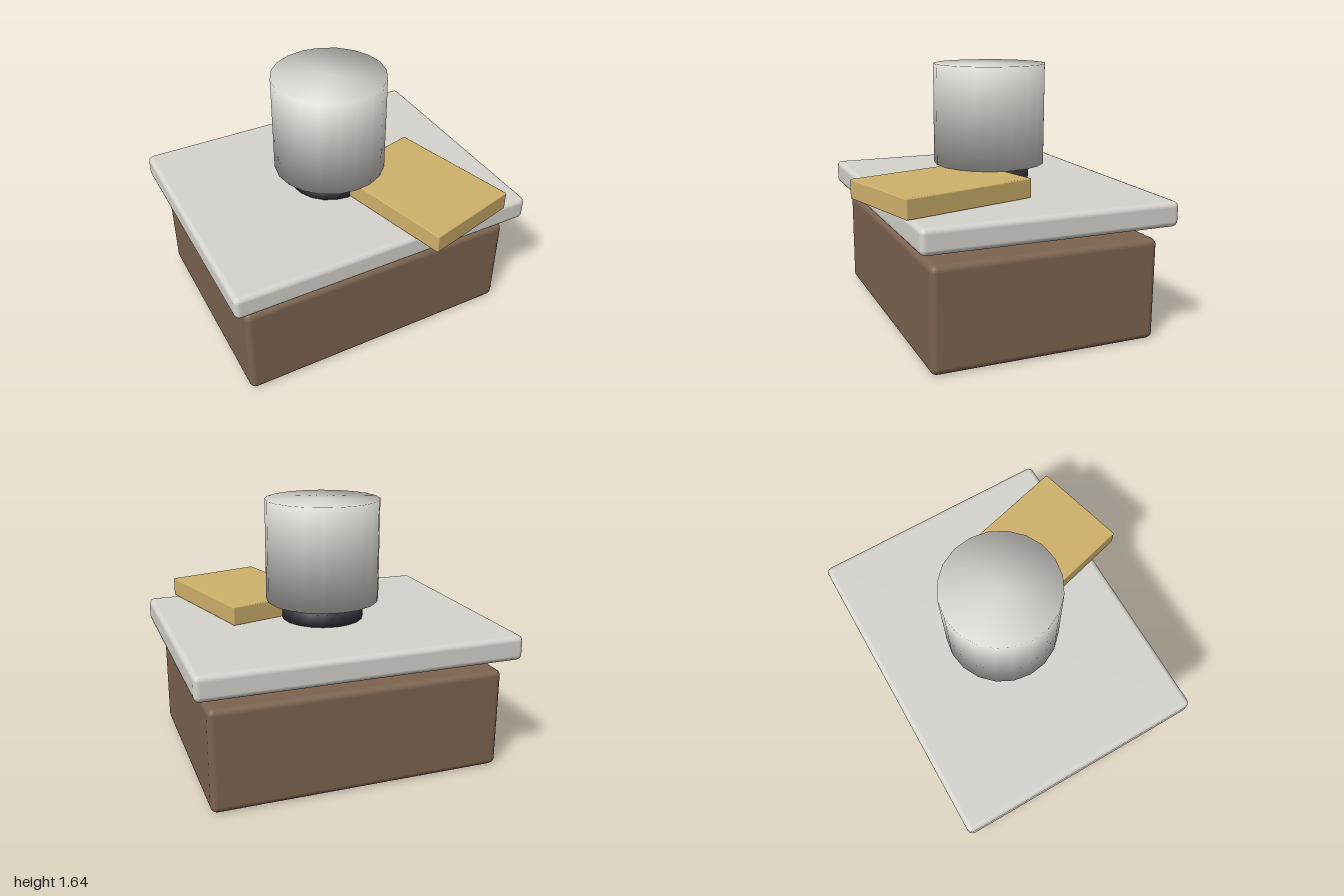
import * as THREE from 'three';
import { RoundedBoxGeometry } from 'three/addons/geometries/RoundedBoxGeometry.js';

function material(name, color) {
  const m = new THREE.MeshStandardMaterial({ color });
  m.name = name;
  return m;
}

// Cylinder whose normals are blended across its rims, giving soft round shading
function softCylinder(radius, height) {
  const geo = new THREE.CylinderGeometry(radius, radius, height, 20);
  const pos = geo.attributes.position;
  const k = Math.SQRT1_2;
  for (let i = 0; i < pos.count; i++) {
    geo.attributes.normal.setXYZ(
      i, k * pos.getX(i) / radius, k * Math.sign(pos.getY(i)), k * pos.getZ(i) / radius);
  }
  return geo;
}

export function createModel() {
  const group = new THREE.Group();
  const brown = material('brown wood', 0x7c6450);
  const pale = material('pale stone', 0xd6d4ce);
  const gold = material('gold', 0xd0b16b);
  const dark = material('dark base', 0x32313a);

  const add = (name, geo, mat, x, y, z) => {
    const mesh = new THREE.Mesh(geo, mat);
    mesh.name = name;
    mesh.position.set(x, y, z);
    group.add(mesh);
    return mesh;
  };

  // Cabinet and the worktop floating just above it
  add('cabinet', new RoundedBoxGeometry(1.836, 0.64, 1.436, 2, 0.04), brown, 0, 0.32, -0.09);
  add('worktop', new RoundedBoxGeometry(2, 0.155, 1.6, 2, 0.035), pale, 0, 0.802, -0.092);

  // Round vessel above its dark base
  add('vesselBase', softCylinder(0.26, 0.08), dark, 0, 0.92, -0.093);
  add('vessel', softCylinder(0.36, 0.64), pale, 0, 1.32, -0.093);

  // Turned board overhanging the front edge
  const board = add('board', new RoundedBoxGeometry(0.63, 0.12, 0.874, 1, 0.008), gold, 0.4, 0.94, 0.383);
  board.rotation.y = 0.26;

  return group;
}
